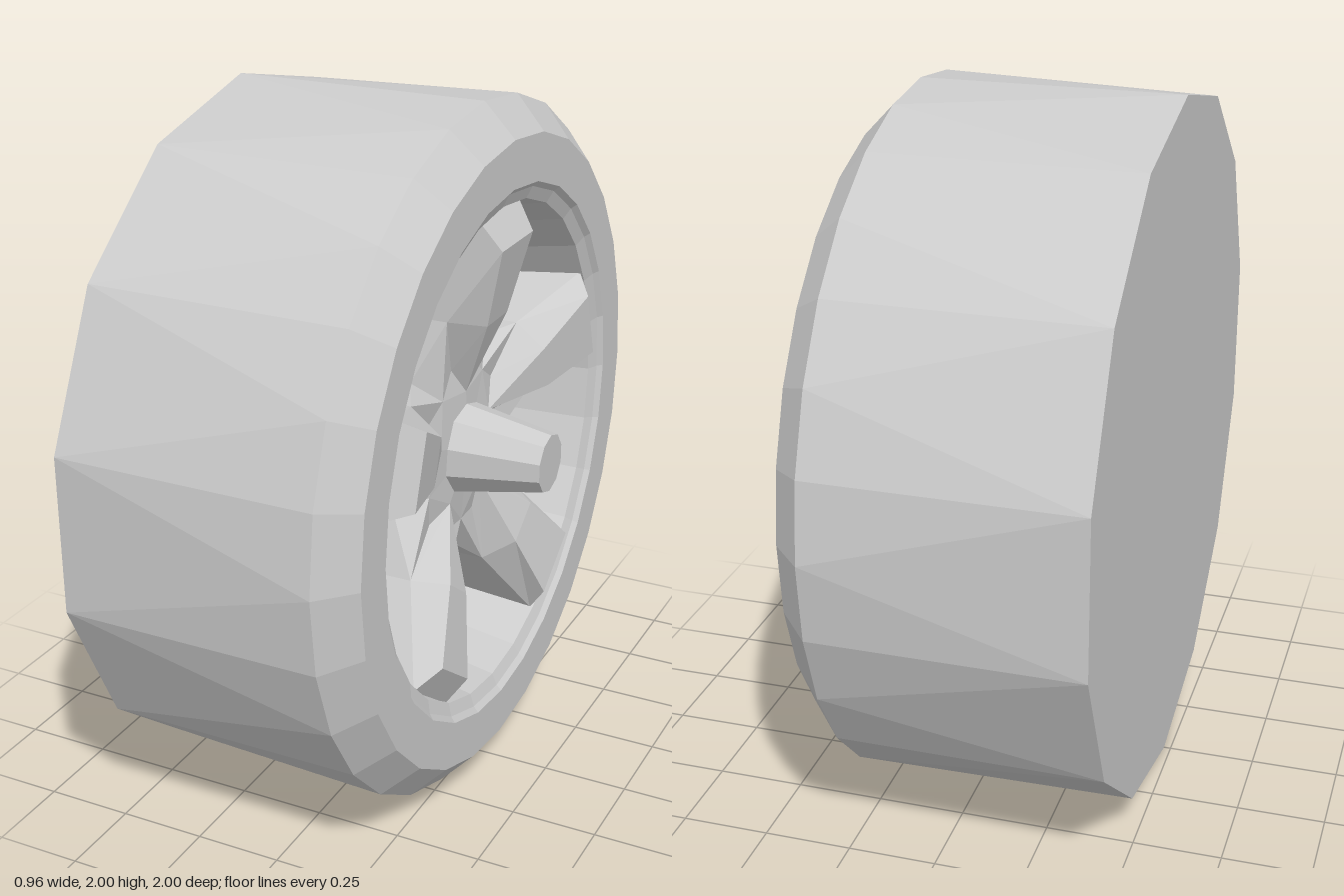
import * as THREE from 'three';

const grey = new THREE.MeshStandardMaterial({ color: 0xcccccc, flatShading: true, side: THREE.DoubleSide });

function addMesh(parent, name, geometry) {
  const mesh = new THREE.Mesh(geometry, grey);
  mesh.name = name;
  parent.add(mesh);
  return mesh;
}

// Builds flat faces from convex polygons of [x, y, z] corners
function polygons(faces) {
  const pos = [];
  for (const f of faces)
    for (let i = 1; i < f.length - 1; i++) pos.push(...f[0], ...f[i], ...f[i + 1]);
  const g = new THREE.BufferGeometry();
  g.setAttribute('position', new THREE.Float32BufferAttribute(pos, 3));
  g.computeVertexNormals();
  return g;
}

// Tread joins a 28-sided front edge to a 14-sided closed back
function treadGeometry() {
  const ring = (x, n) => (k) => {
    const a = (k / n) * Math.PI * 2;
    return [x, Math.cos(a), Math.sin(a)];
  };
  const front = ring(0.26, 28), back = ring(-0.48, 14), faces = [];
  for (let k = 0; k < 14; k++) {
    const f = 2 * k;
    faces.push(
      [back(k), front(f), front(f + 1)],
      [back(k), front(f + 1), back(k + 1)],
      [back(k + 1), front(f + 1), front(f + 2)],
      [[-0.48, 0, 0], back(k), back(k + 1)]
    );
  }
  return polygons(faces);
}

// One spoke pointing up, with its fifth of the hub star
function spokeGeometry() {
  const p = (r, w, x) => [x, r, w];
  const polar = (r, x) => p(r * Math.cos(Math.PI / 5), r * Math.sin(Math.PI / 5), x);
  const mirror = ([x, y, z]) => [x, y, -z];
  const A = p(0.63, 0.105, 0.365), B = p(0.4, 0.068, 0.31), T = p(0.17, 0, 0.22);
  const C = p(0.71, 0.13, 0.31), D = p(0.42, 0.135, 0.22), E = p(0.25, 0.06, 0.2);
  const V = polar(0.23, 0.21), N = polar(0.3, 0.13), O = p(0, 0, 0.23);
  const deep = ([, y, z]) => [0.08, y, z];
  const half = [
    [A, C, D, B], [B, D, E, T], [D, V, E], [E, V, T], [T, V, O],
    [D, N, V], [C, deep(C), deep(D), D], [D, deep(D), deep(N), N],
  ];
  return polygons([
    ...half,
    ...half.map((f) => f.map(mirror).reverse()),
    [A, B, mirror(B), mirror(A)],
    [B, T, mirror(B)],
    [C, A, mirror(A), mirror(C)],
  ]);
}

// Brake caliper block, its outer part sloping back
function caliperGeometry() {
  const outline = [
    [0.36, 0.32], [0.47, 0.44], [0.59, 0.45], [0.64, 0.1], [0.65, -0.33],
    [0.51, -0.33], [0.42, -0.3], [0.38, -0.22], [0.36, -0.05],
  ];
  const shape = new THREE.Shape(outline.map(([a, b]) => new THREE.Vector2(a, b)));
  const g = new THREE.ExtrudeGeometry(shape, { depth: 0.12, bevelEnabled: false });
  const pos = g.attributes.position;
  for (let i = 0; i < pos.count; i++)
    if (pos.getZ(i) > 0.1 && pos.getX(i) > 0.55) pos.setZ(i, 0.03);
  return g.rotateY(Math.PI / 2);
}

export function createModel() {
  const model = new THREE.Group();
  model.name = 'wheel';
  const wheel = new THREE.Group();
  wheel.name = 'wheelAssembly';
  wheel.position.y = 1;
  model.add(wheel);

  addMesh(wheel, 'tyreTread', treadGeometry());

  // Side wall, rim lip, barrel and floor in one turned profile
  const profile = [
    [1, 0.26], [0.905, 0.35], [0.77, 0.35], [0.755, 0.335], [0.72, 0.32], [0.66, 0.0], [0, 0.0],
  ].map(([r, x]) => new THREE.Vector2(r, x));
  addMesh(wheel, 'sidewallAndRim', new THREE.LatheGeometry(profile, 28)).rotation.z = -Math.PI / 2;

  const spoke = spokeGeometry();
  for (let i = 0; i < 5; i++) addMesh(wheel, 'spoke', spoke).rotation.x = (i * Math.PI * 2) / 5;

  // Tapered centre nut
  const nut = new THREE.CylinderGeometry(0.085, 0.14, 0.3, 10);
  nut.rotateY(Math.PI / 10).rotateZ(-Math.PI / 2);
  addMesh(wheel, 'centreNut', nut).position.x = 0.33;

  addMesh(wheel, 'brakeCaliper', caliperGeometry());
  return model;
}
